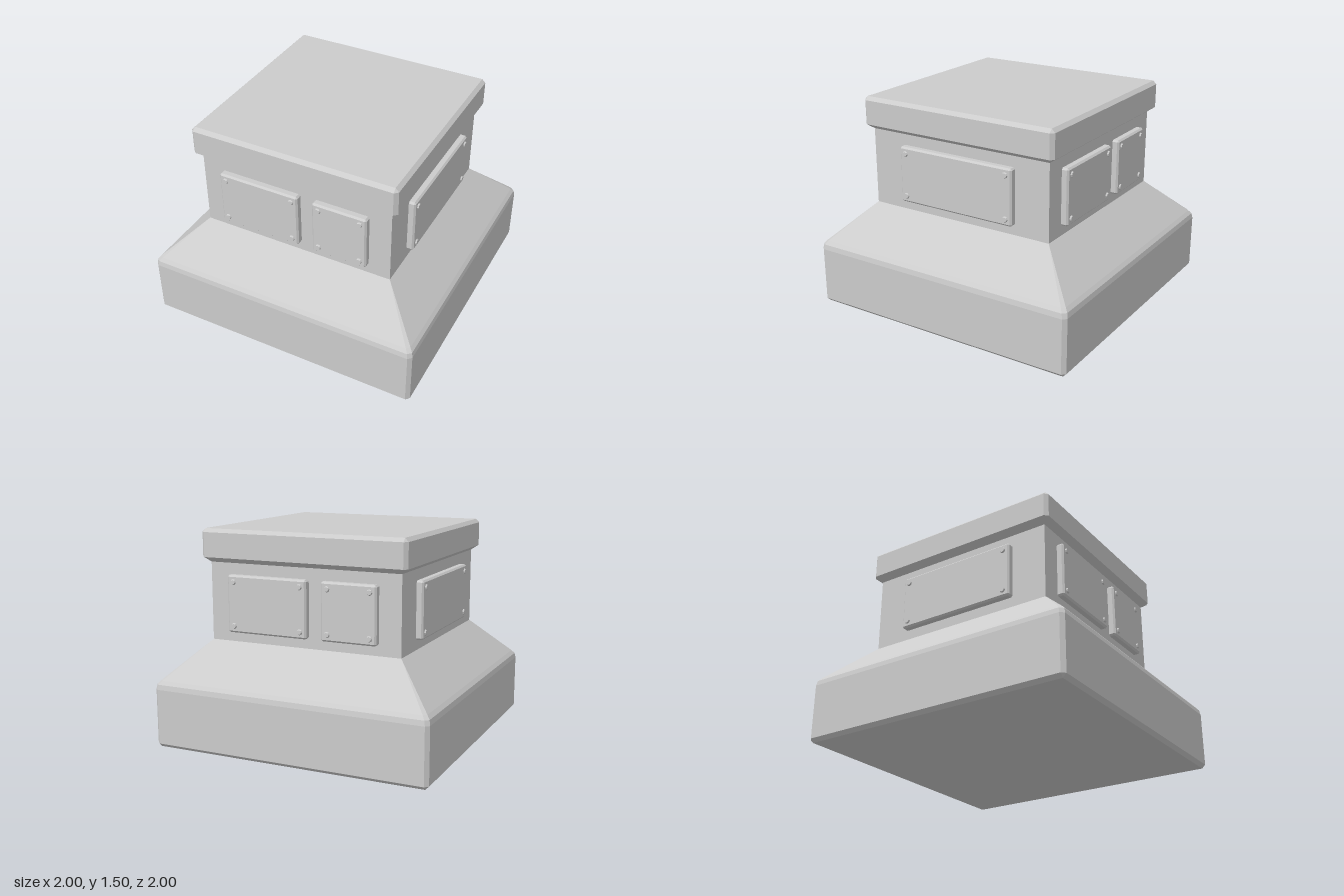
import * as THREE from 'three';

const material = new THREE.MeshStandardMaterial({ color: 0xcccccc, flatShading: true });

// Rectangle with cut corners, counter-clockwise seen from above.
function section([y, hx, hz, c]) {
  return [
    [hx, hz - c], [hx, c - hz], [hx - c, -hz], [c - hx, -hz],
    [-hx, c - hz], [-hx, hz - c], [c - hx, hz], [hx - c, hz],
  ].map(([x, z]) => new THREE.Vector3(x, y, z));
}

// Closed solid through sections [y, halfX, halfZ, cornerCut], bottom to top.
function loft(name, levels) {
  const rings = levels.map(section);
  const positions = [];
  const tri = (a, b, c) => {
    const area = b.clone().sub(a).cross(c.clone().sub(a)).length();
    if (area > 1e-9) for (const p of [a, b, c]) positions.push(p.x, p.y, p.z);
  };
  for (let r = 0; r < rings.length - 1; r++) {
    for (let i = 0; i < 8; i++) {
      const j = (i + 1) % 8;
      tri(rings[r][i], rings[r][j], rings[r + 1][j]);
      tri(rings[r][i], rings[r + 1][j], rings[r + 1][i]);
    }
  }
  const bottom = rings[0], top = rings[rings.length - 1];
  for (let i = 1; i < 7; i++) {
    tri(bottom[0], bottom[i + 1], bottom[i]);
    tri(top[0], top[i], top[i + 1]);
  }
  const geometry = new THREE.BufferGeometry();
  geometry.setAttribute('position', new THREE.Float32BufferAttribute(positions, 3));
  geometry.computeVertexNormals();
  const mesh = new THREE.Mesh(geometry, material);
  mesh.name = name;
  return mesh;
}

// Bevelled plate on the +z side of the neck, with a rivet in each corner.
function makePlate(x, width) {
  const group = new THREE.Group();
  group.name = 'rivetedPlate';
  const hx = width / 2, hy = 0.197, b = 0.012;
  const plate = loft('plate', [
    [-0.01, hx, hy, b], [0.036, hx, hy, b], [0.048, hx - b, hy - b, 0],
  ]);
  plate.rotation.x = Math.PI / 2;
  group.add(plate);
  const rivetGeometry = new THREE.CylinderGeometry(0.016, 0.023, 0.014, 8);
  for (const sx of [-1, 1]) {
    for (const sy of [-1, 1]) {
      const rivet = new THREE.Mesh(rivetGeometry, material);
      rivet.name = 'rivet';
      rivet.rotation.x = Math.PI / 2;
      rivet.position.set(sx * (hx - 0.047), sy * 0.15, 0.051);
      group.add(rivet);
    }
  }
  group.position.set(x, 1.002, 0.7);
  return group;
}

export function createModel() {
  const model = new THREE.Group();
  model.name = 'pedestal';

  // Square plinth with bevelled edges and sloping shoulders
  model.add(loft('plinth', [
    [0, 0.975, 0.975, 0],
    [0.025, 1, 1, 0.025],
    [0.41, 1, 1, 0.025],
    [0.445, 0.993, 0.993, 0.025],
    [0.47, 0.972, 0.972, 0.022],
    [0.735, 0.7, 0.7, 0],
  ]));

  // Straight neck
  model.add(loft('neck', [[0.735, 0.7, 0.7, 0], [1.275, 0.7, 0.7, 0]]));

  // Overhanging cap
  model.add(loft('cap', [
    [1.275, 0.7, 0.7, 0],
    [1.31, 0.75, 0.75, 0.025],
    [1.48, 0.75, 0.75, 0.025],
    [1.505, 0.725, 0.725, 0],
  ]));

  // Two plates on front and back, one wide plate on each side
  for (let i = 0; i < 4; i++) {
    const side = new THREE.Group();
    side.name = ['frontPlates', 'leftPlate', 'backPlates', 'rightPlate'][i];
    if (i % 2 === 0) side.add(makePlate(-0.252, 0.594), makePlate(0.348, 0.394));
    else side.add(makePlate(0, 0.894));
    side.rotation.y = (i * Math.PI) / 2;
    model.add(side);
  }
  return model;
}
